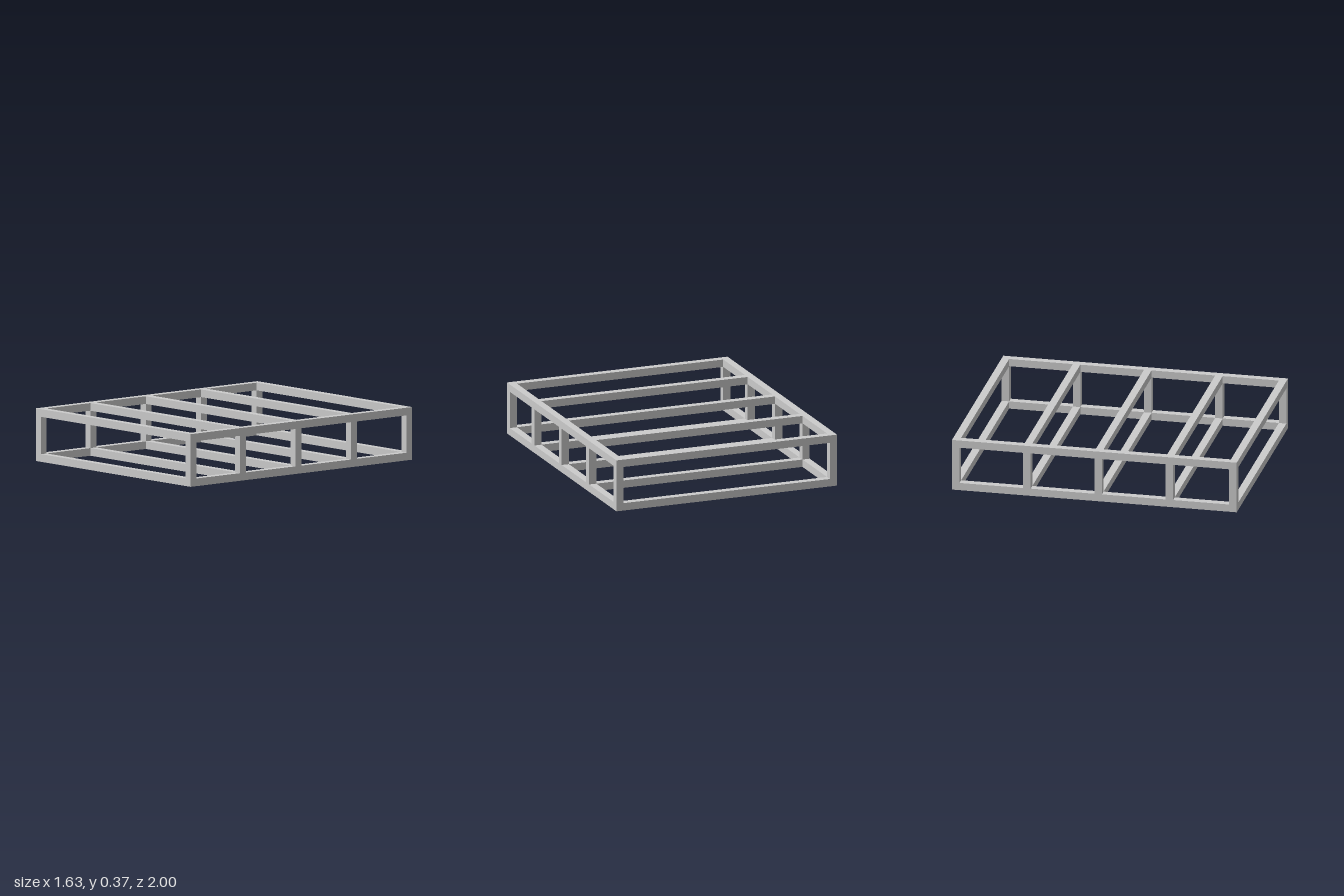
import * as THREE from 'three';

const T = 0.053;   // square bar thickness
const HW = 0.816;  // half width
const H = 0.365;   // height
const L = 2;       // length

export function createModel() {
  const model = new THREE.Group();
  model.name = 'bedBaseFrame';
  const material = new THREE.MeshStandardMaterial({ color: 0xcccccc, flatShading: true });

  const bar = (name, w, h, d, x, y, z) => {
    const mesh = new THREE.Mesh(new THREE.BoxGeometry(w, h, d), material);
    mesh.name = name;
    mesh.position.set(x, y, z);
    model.add(mesh);
  };

  const levels = [['lower', T / 2], ['upper', H - T / 2]];
  const sides = [['left', 1], ['right', -1]];
  const railX = HW - T / 2;

  // Long side rails, top and bottom
  for (const [level, y] of levels)
    for (const [side, s] of sides)
      bar(`${level}Rail_${side}`, T, T, L, s * railX, y, 0);

  // Bar stations: each is set back to front from its grid line, the last one flush with the front
  const stations = [-1, -0.5, 0, 0.5, 1 - T].map((z) => z + T / 2);
  stations.forEach((z, i) => {
    // Crossbars between the rails
    for (const [level, y] of levels)
      bar(`${level}Crossbar_${i + 1}`, 2 * (HW - T), T, T, 0, y, z);
    // Upright posts between lower and upper rails
    for (const [side, s] of sides)
      bar(`post_${side}_${i + 1}`, T, H - 2 * T, T, s * railX, H / 2, z);
  });

  return model;
}
